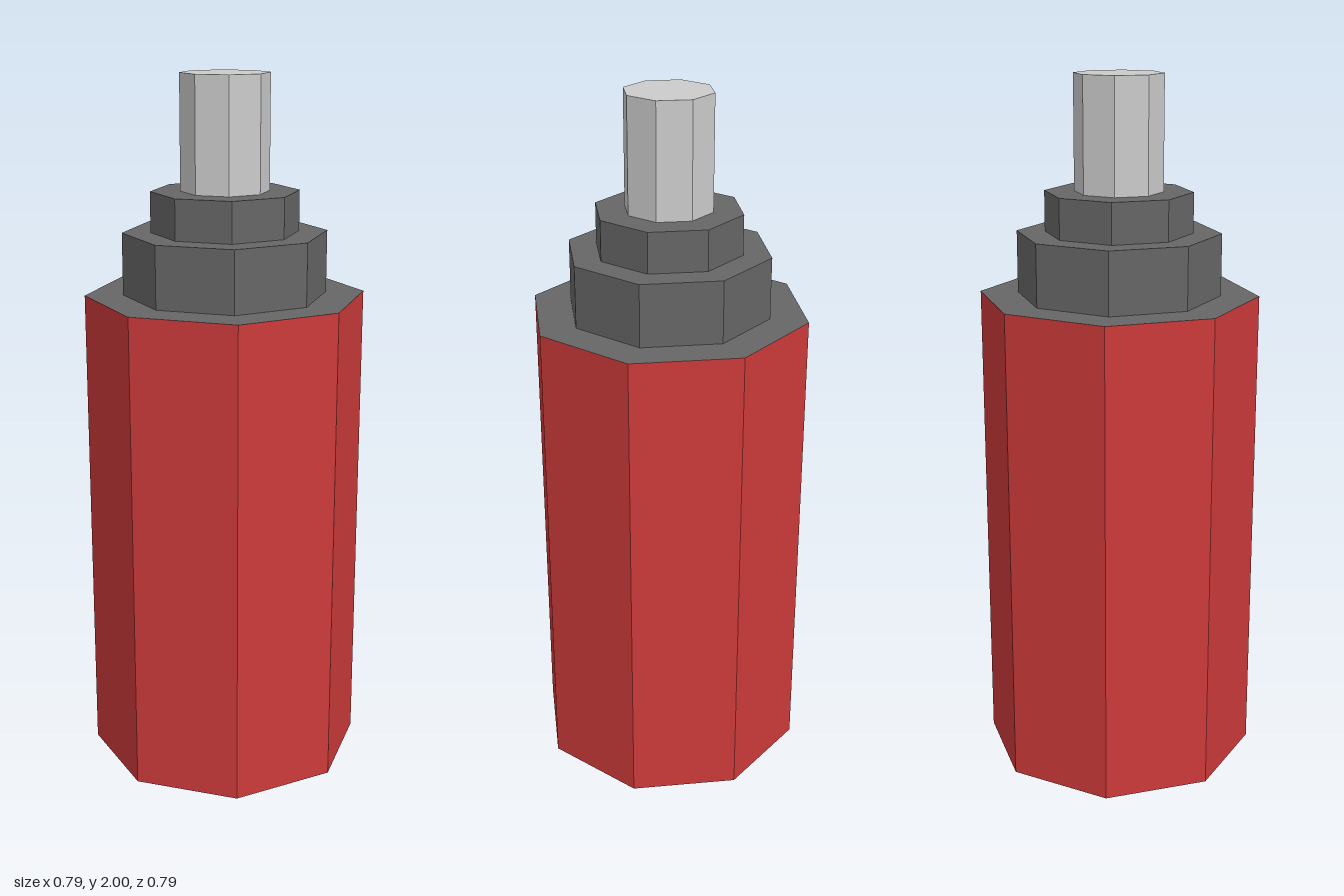
import * as THREE from 'three';

const SIDES = 8;

export function createModel() {
  const model = new THREE.Group();
  const paint = (color) => new THREE.MeshStandardMaterial({ color, flatShading: true });
  const red = paint(0xcc3a3a);
  const dark = paint(0x666666);
  const grey = paint(0xcccccc);

  // Octagonal prism with corners on the x and z axes, standing from y0 to y1
  function prism(name, radius, y0, y1, material) {
    const mesh = new THREE.Mesh(new THREE.CylinderGeometry(radius, radius, y1 - y0, SIDES), material);
    mesh.name = name;
    mesh.position.y = (y0 + y1) / 2;
    model.add(mesh);
  }

  // Red body with a dark shoulder on top (materials: side, top, bottom)
  prism('body', 0.397, 0, 1.39, [red, dark, red]);

  // Stepped collar
  prism('lowerCollar', 0.289, 1.39, 1.566, dark);
  prism('upperCollar', 0.209, 1.566, 1.68, dark);

  // Pin at the tip
  prism('pin', 0.125, 1.68, 2, grey);

  return model;
}
